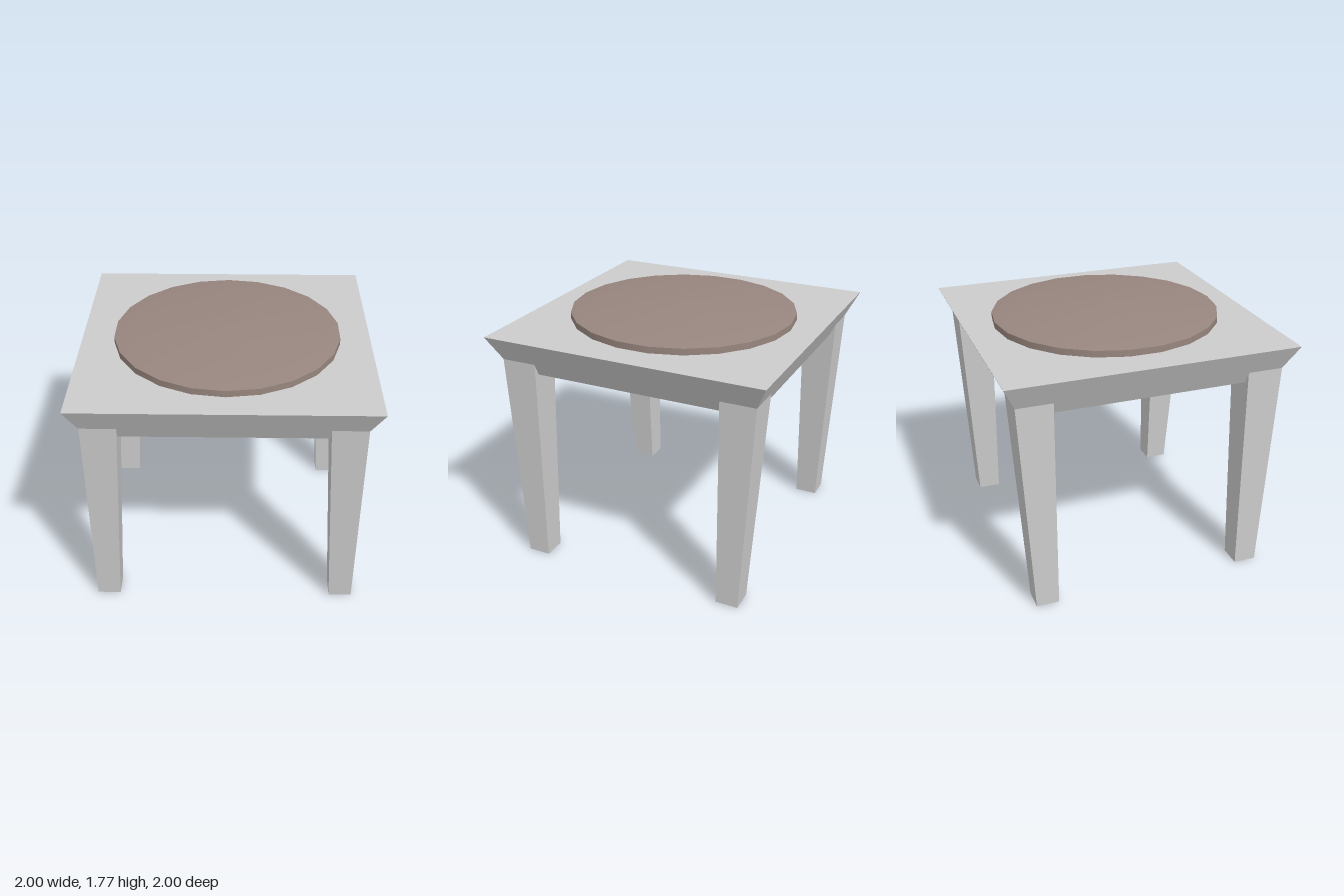
import * as THREE from 'three';

const grey = new THREE.MeshStandardMaterial({ color: 0xcccccc, flatShading: true });
const cushionMaterial = new THREE.MeshStandardMaterial({ color: 0x98867f });

function addMesh(parent, name, geometry, material) {
  const mesh = new THREE.Mesh(geometry, material);
  mesh.name = name;
  parent.add(mesh);
  return mesh;
}

// Box whose corners are moved to given x/z ranges at the bottom and top
function taperedBox(y0, y1, bottom, top) {
  const geometry = new THREE.BoxGeometry(1, 1, 1);
  const p = geometry.attributes.position;
  for (let i = 0; i < p.count; i++) {
    const r = p.getY(i) > 0 ? top : bottom;
    p.setXYZ(i, r.x[p.getX(i) > 0 ? 1 : 0], p.getY(i) > 0 ? y1 : y0, r.z[p.getZ(i) > 0 ? 1 : 0]);
  }
  geometry.computeVertexNormals();
  return geometry;
}

export function createModel() {
  const model = new THREE.Group();
  model.name = 'stool';

  // Square seat, its sides sloping inward towards the underside
  addMesh(model, 'seat', taperedBox(1.42, 1.675,
    { x: [-0.876, 0.876], z: [-0.876, 0.876] },
    { x: [-1, 1], z: [-1, 1] }), grey);

  // Four legs: outer x and inner z faces are vertical, the other two taper
  for (const sx of [-1, 1]) {
    for (const sz of [-1, 1]) {
      const range = (a, b, s) => (s > 0 ? [a, b] : [-b, -a]);
      addMesh(model, (sz > 0 ? 'front' : 'back') + (sx > 0 ? 'Left' : 'Right') + 'Leg',
        taperedBox(0, 1.54,
          { x: range(0.757, 0.917, sx), z: range(0.67, 0.828, sz) },
          { x: range(0.676, 0.917, sx), z: range(0.67, 0.92, sz) }), grey);
    }
  }

  // Round cushion: upright rim and shallow dome
  const cushion = new THREE.Group();
  cushion.name = 'cushion';
  cushion.position.x = 0.008;
  cushion.scale.x = 0.98;
  model.add(cushion);
  const rim = addMesh(cushion, 'cushionRim',
    new THREE.CylinderGeometry(0.8, 0.8, 0.06, 22, 1, true), cushionMaterial);
  rim.position.y = 1.69;
  const profile = [[0.8, 1.72], [0.63, 1.745], [0.21, 1.77], [0, 1.773]];
  addMesh(cushion, 'cushionTop',
    new THREE.LatheGeometry(profile.map(([r, y]) => new THREE.Vector2(r, y)), 22), cushionMaterial);

  return model;
}
